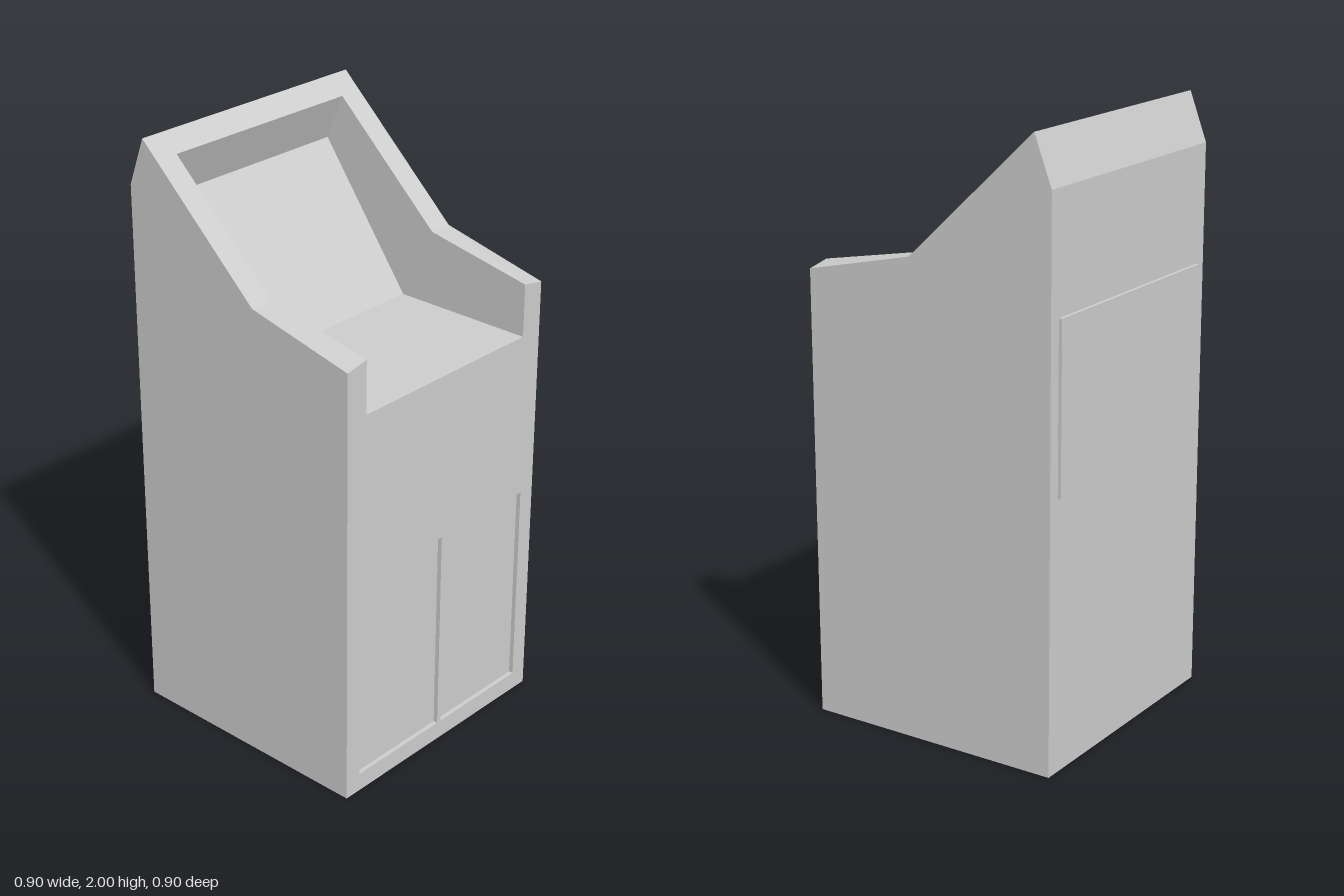
import * as THREE from 'three';

const HALF = 0.45;      // half width of the cabinet
const INNER = 0.368;    // half width of the recess
const FRONT = 0.447, BACK = -0.44, PLATE = 0.015;
const FLOOR = 1.33;     // height of the control shelf

const toShape = (pts) => new THREE.Shape(pts.map(([x, y]) => new THREE.Vector2(x, y)));

// Extrude a side profile across z, from z0 to z1
function slab(pts, z0, z1) {
  const g = new THREE.ExtrudeGeometry(toShape(pts), { depth: z1 - z0, bevelEnabled: false });
  return g.translate(0, 0, z0);
}

export function createModel() {
  const group = new THREE.Group();
  const grey = new THREE.MeshStandardMaterial({ color: 0xcccccc });
  grey.name = 'cabinet grey';

  const add = (name, geometry) => {
    const mesh = new THREE.Mesh(geometry, grey);
    mesh.name = name;
    group.add(mesh);
  };

  // Middle body with flat shelf, sloping screen and overhanging hood
  const x0 = FRONT - PLATE;
  add('body', slab([
    [BACK, 0], [x0, 0], [x0, FLOOR], [-0.05, FLOOR],
    [-0.385, 1.79], [-0.32, 1.944], [-0.38, 2], [BACK, 1.84],
  ], -INNER, INNER));

  // Side walls, with the front of the rim tilted slightly outwards
  const wall = [
    [BACK, 0], [x0, 0], [x0, FLOOR], [FRONT, FLOOR], [FRONT, 1.5],
    [0.068, 1.58], [-0.38, 2], [BACK, 1.84],
  ];
  for (const [name, z0, z1] of [['leftWall', -HALF, -INNER], ['rightWall', INNER, HALF]]) {
    const g = slab(wall, z0, z1);
    const p = g.attributes.position;
    for (let i = 0; i < p.count; i++) {
      if (Math.abs(p.getY(i) - 1.5) < 0.001) p.setY(i, Math.abs(p.getZ(i)) > 0.4 ? 1.493 : 1.508);
    }
    g.computeVertexNormals();
    add(name, g);
  }

  // Front frame with two openings, leaving the doors set back
  const frame = toShape([[-HALF, 0], [HALF, 0], [HALF, FLOOR], [-HALF, FLOOR]]);
  for (const [a, b] of [[-0.39, -0.008], [0.008, 0.39]]) {
    frame.holes.push(toShape([[a, 0.062], [a, 0.765], [b, 0.765], [b, 0.062]]));
  }
  const frameGeo = new THREE.ExtrudeGeometry(frame, { depth: PLATE, bevelEnabled: false });
  add('doorFrame', frameGeo.rotateY(Math.PI / 2).translate(x0, 0, 0));

  // Service panel on the back
  add('backPanel', new THREE.BoxGeometry(0.012, 0.555, 0.816).translate(BACK - 0.005, 1.178, 0));

  return group;
}
